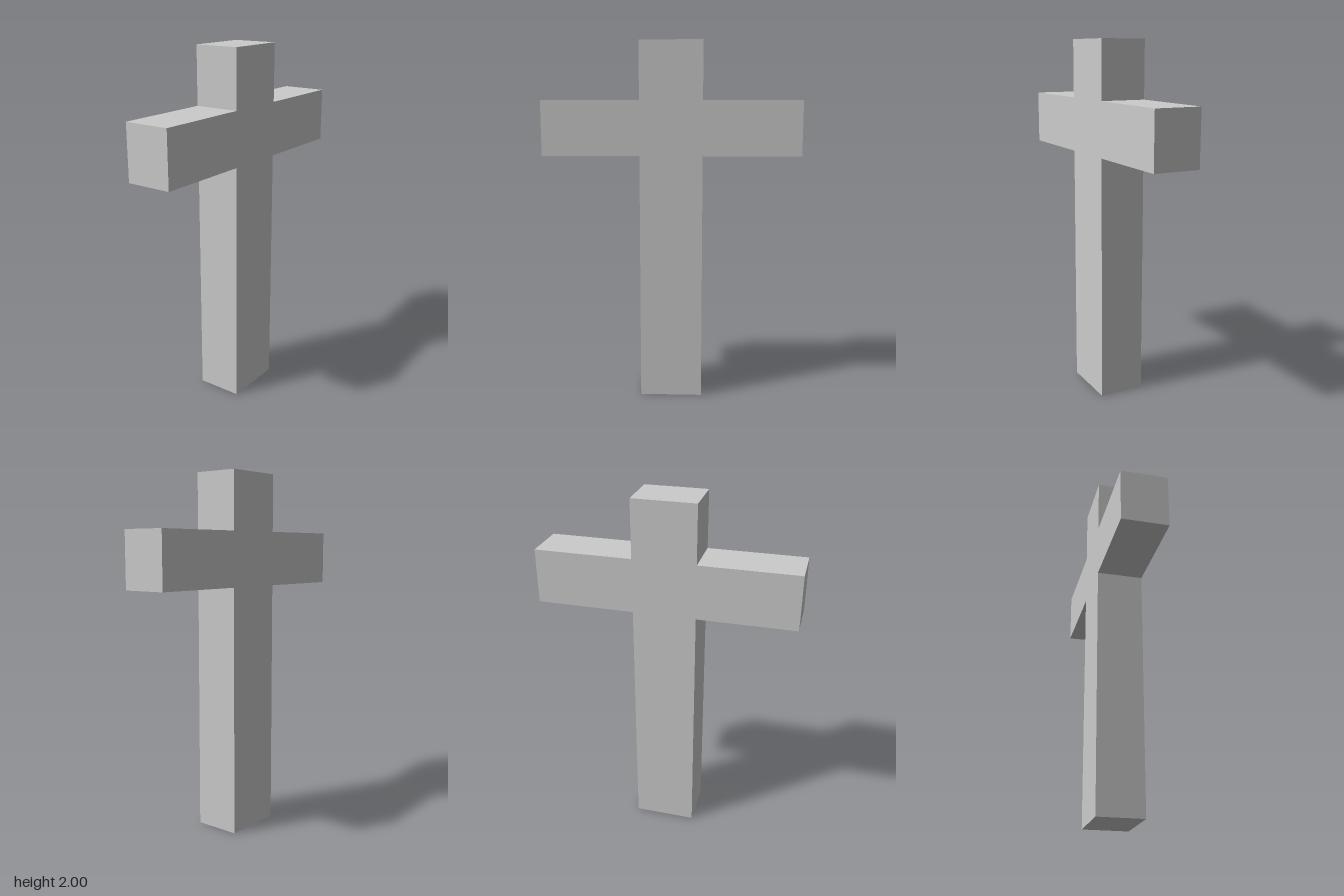
import * as THREE from 'three';

const POST = 0.173;      // half width of the post
const ARM = 0.712;       // half span of the crossbar
const ARM_LOW = 1.38;    // underside of the crossbar
const ARM_HIGH = 1.682;  // top of the crossbar
const HEIGHT = 2;
const DEPTH = 0.257;

export function createModel() {
  const group = new THREE.Group();
  group.name = 'cross';

  // Right half of the outline from the foot up, mirrored for the other half
  const half = [
    [POST, 0], [POST, ARM_LOW], [ARM, ARM_LOW],
    [ARM, ARM_HIGH], [POST, ARM_HIGH], [POST, HEIGHT],
  ];
  const mirrored = half.map(([x, y]) => [-x, y]).reverse();
  const outline = new THREE.Shape([...half, ...mirrored].map(([x, y]) => new THREE.Vector2(x, y)));

  // Post and crossbar are one solid with flush faces
  const geometry = new THREE.ExtrudeGeometry(outline, { depth: DEPTH, bevelEnabled: false });
  geometry.translate(0, 0, -DEPTH / 2);

  const body = new THREE.Mesh(
    geometry,
    new THREE.MeshStandardMaterial({ color: 0xcccccc, flatShading: true }),
  );
  body.name = 'postAndCrossbar';
  group.add(body);
  return group;
}
